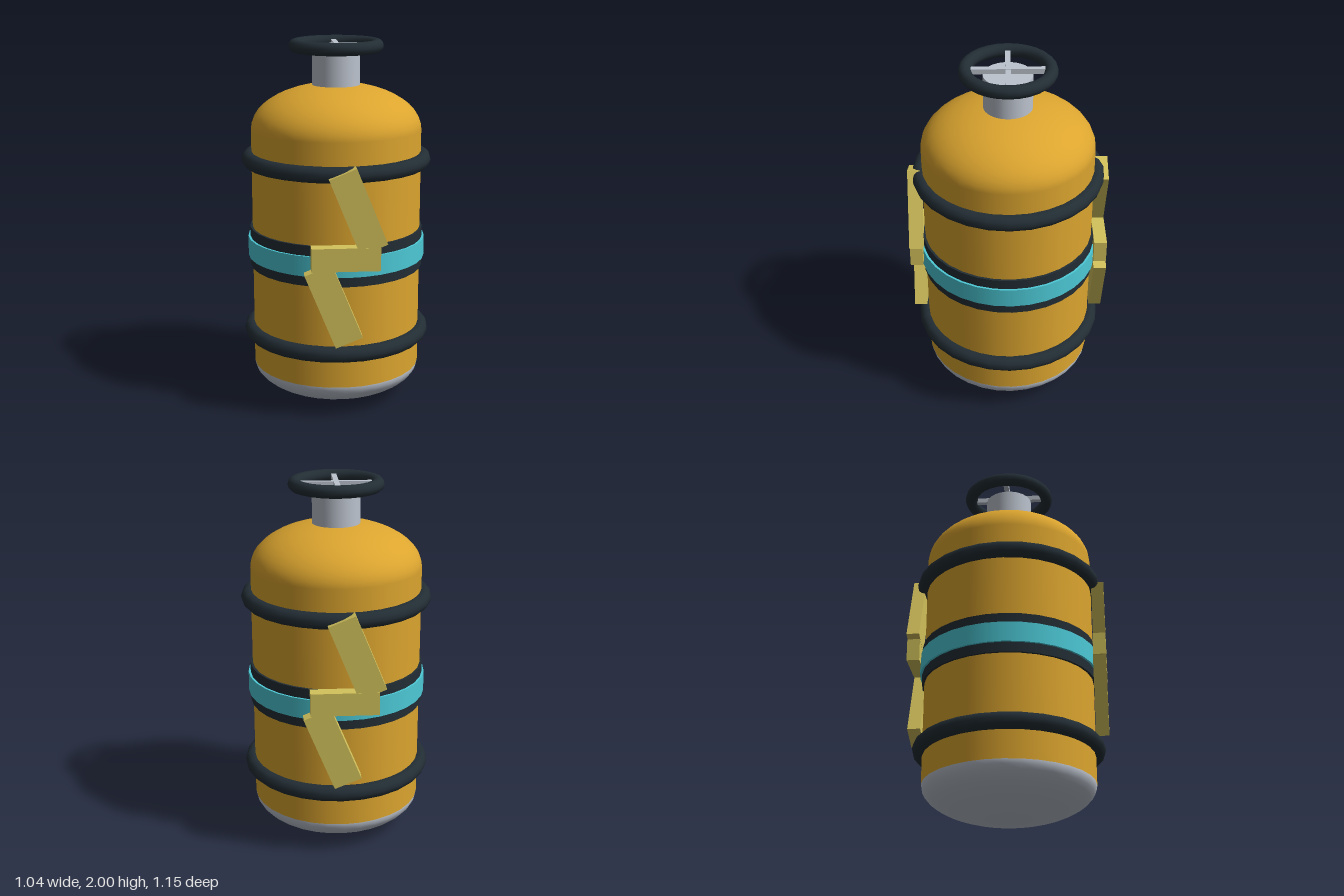
import * as THREE from 'three';

const mat = (name, color, extra = {}) => {
  const m = new THREE.MeshStandardMaterial({ color, ...extra });
  m.name = name;
  return m;
};

export function createModel() {
  const orange = mat('orange paint', 0xdca52f);
  const rubber = mat('dark rubber', 0x222d34);
  const teal = mat('teal glow', 0x4cc9d6);
  const yellow = mat('pale yellow', 0xd3c25c);
  const steel = mat('light steel', 0xbcc3ce);

  const model = new THREE.Group();
  model.name = 'gasTank';
  const R = 0.465;

  const add = (parent, name, geometry, material, x = 0, y = 0, z = 0) => {
    const mesh = new THREE.Mesh(geometry, material);
    mesh.name = name;
    mesh.position.set(x, y, z);
    parent.add(mesh);
    return mesh;
  };
  const drum = (name, radius, y0, y1, material, open = false) =>
    add(model, name, new THREE.CylinderGeometry(radius, radius, y1 - y0, 32, 1, open), material, 0, (y0 + y1) / 2);
  const ring = (name, radius, tube, y, material) =>
    add(model, name, new THREE.TorusGeometry(radius, tube, 12, 28).rotateX(Math.PI / 2), material, 0, y);

  // Tank shell with a domed top and a bare metal base
  drum('body', R, 0.185, 1.52, orange, true);
  const dome = (name, y, height, start, material) =>
    add(model, name, new THREE.SphereGeometry(R, 32, 12, 0, Math.PI * 2, start, Math.PI / 2)
      .scale(1, height / R, 1), material, 0, y);
  dome('topDome', 1.52, 0.245, 0, orange);
  dome('baseDome', 0.185, 0.18, Math.PI / 2, steel);

  // Bumper rings and the middle band
  ring('upperBumper', 0.475, 0.044, 1.355, rubber);
  ring('lowerBumper', 0.475, 0.044, 0.38, rubber);
  drum('bandBacking', 0.478, 0.755, 0.975, rubber);
  drum('tealBand', 0.49, 0.81, 0.92, teal);

  // Valve neck and handwheel
  drum('valveNeck', 0.13, 1.7, 1.943, steel);
  ring('handwheelRim', 0.222, 0.035, 1.965, rubber);

  // Fittings share one slight turn about the tank axis
  const turn = -0.227;
  const spokes = new THREE.Group();
  spokes.name = 'handwheelSpokes';
  spokes.rotation.y = turn;
  model.add(spokes);
  add(spokes, 'spokeAcross', new THREE.BoxGeometry(0.38, 0.028, 0.028), steel, 0, 1.965);
  add(spokes, 'spokeAlong', new THREE.BoxGeometry(0.028, 0.028, 0.38), steel, 0, 1.966);

  // Lightning sign on the front, repeated on the back
  for (const [name, angle] of [['frontBolt', 0], ['backBolt', Math.PI]]) {
    const bolt = new THREE.Group();
    bolt.name = name;
    bolt.rotation.y = turn + angle;
    model.add(bolt);
    const depth = 0.07, z = 0.505;
    add(bolt, 'boltMiddle', new THREE.BoxGeometry(0.36, 0.125, depth), yellow, 0.01, 0.922, z);
    for (const [part, s] of [['boltUpperArm', 1], ['boltLowerArm', -1]]) {
      const arm = add(bolt, part, new THREE.BoxGeometry(0.153, 0.432, depth), yellow,
        0.01 + s * 0.064, 0.92 + s * 0.252, z - 0.001);
      arm.rotation.z = 0.385;
    }
  }

  return model;
}
